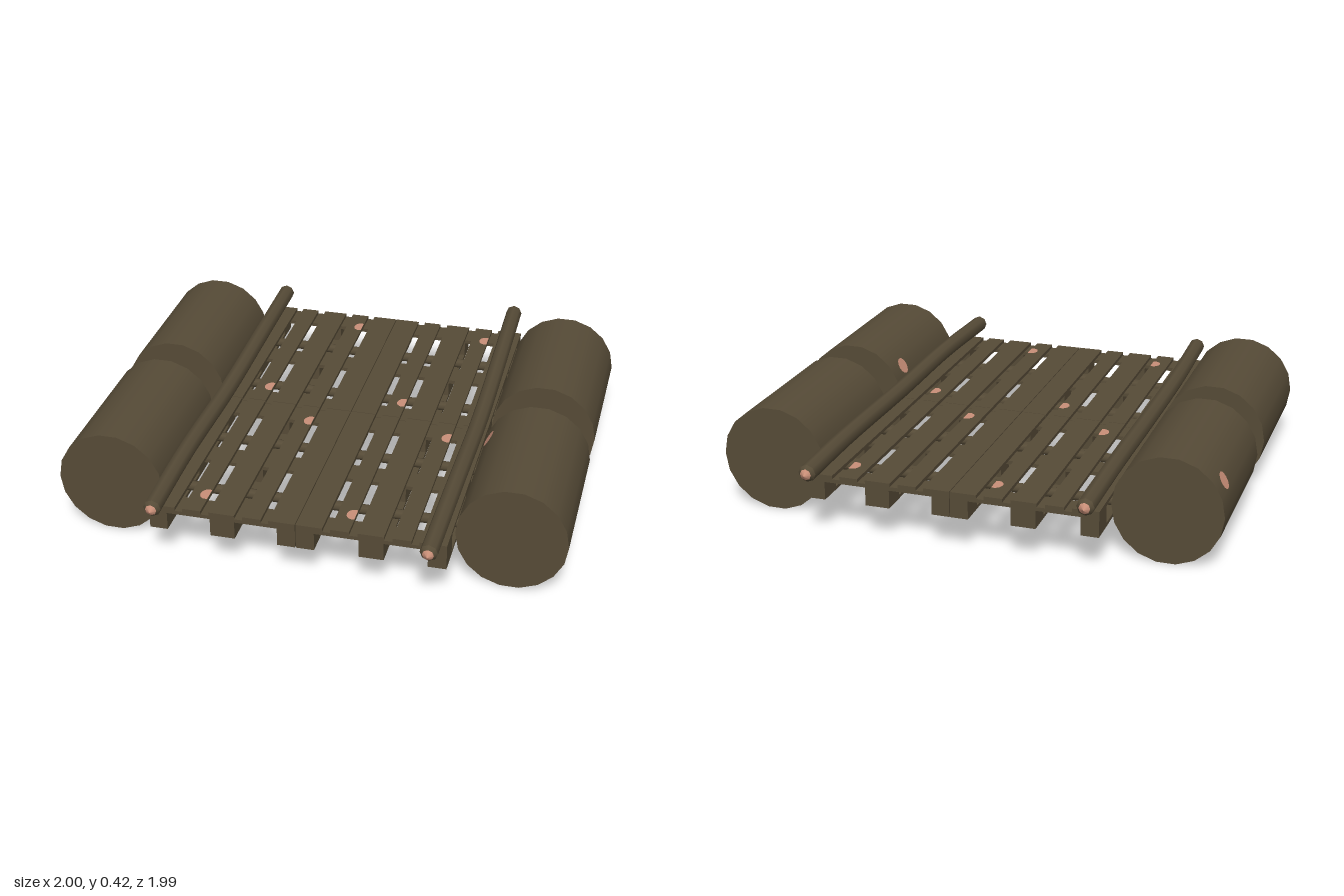
import * as THREE from 'three';

const wood = new THREE.MeshStandardMaterial({ color: 0x564b37 });
wood.name = 'weathered brown';
const pink = new THREE.MeshStandardMaterial({ color: 0xc98f78 });
pink.name = 'pale pink';

function add(parent, name, geometry, material, x = 0, y = 0, z = 0) {
  const mesh = new THREE.Mesh(geometry, material);
  mesh.name = name;
  mesh.position.set(x, y, z);
  parent.add(mesh);
  return mesh;
}

// Box given by its limits on each axis
function slab(parent, name, [x0, x1], [y0, y1], [z0, z1]) {
  const g = new THREE.BoxGeometry(x1 - x0, y1 - y0, z1 - z0);
  return add(parent, name, g, wood, (x0 + x1) / 2, (y0 + y1) / 2, (z0 + z1) / 2);
}

// Pallet with its back right corner at the group's origin
function makePallet() {
  const pallet = new THREE.Group();
  pallet.name = 'pallet';
  const length = 0.856;
  const planks = [[0, 0.102], [0.132, 0.204], [0.236, 0.336], [0.368, 0.44], [0.47, 0.572]];
  const skids = [[0, 0.07], [0.24, 0.336], [0.502, 0.572]];
  const rows = [[0, 0.1], [0.378, 0.478], [0.756, length]];

  for (const p of planks) slab(pallet, 'deckPlank', p, [0.23, 0.244], [0, length]);
  for (const r of rows) slab(pallet, 'crossBoard', [0, 0.572], [0.215, 0.23], r);
  for (const s of skids) {
    slab(pallet, 'skidBoard', s, [0.142, 0.156], [0, length]);
    for (const r of rows) slab(pallet, 'spacerBlock', s, [0.156, 0.215], r);
  }

  // Round marks cut off by the plank edge
  const a = 1.2;
  const mark = new THREE.ShapeGeometry(new THREE.Shape().absarc(0, 0, 0.033, a, 2 * Math.PI - a, false), 8);
  mark.scale(0.8, 1, 1).rotateX(-Math.PI / 2);
  add(pallet, 'plankMark', mark, pink, 0.43, 0.246, 0.115);
  add(pallet, 'plankMark', mark, pink, 0.194, 0.246, 0.74);
  return pallet;
}

// Barrel lying along z, with one round mark on a side facet
function makeBarrel(x, z0, z1, markAngle, markZ) {
  const barrel = new THREE.Group();
  barrel.name = 'barrel';
  const radius = 0.212, sides = 18;
  barrel.position.set(x, 0.21, 0);
  const body = new THREE.CylinderGeometry(radius, radius, z1 - z0, sides, 1, false, Math.PI / sides);
  body.rotateX(Math.PI / 2);
  add(barrel, 'barrelBody', body, wood, 0, 0, (z0 + z1) / 2);

  const t = THREE.MathUtils.degToRad(markAngle);
  const d = radius * Math.cos(Math.PI / sides) + 0.002;
  const disc = new THREE.CircleGeometry(0.035, 12).rotateY(Math.PI / 2).rotateZ(t);
  add(barrel, 'barrelMark', disc, pink, d * Math.cos(t), d * Math.sin(t), markZ);
  return barrel;
}

// Slightly crooked log with pointed pale ends
function makeLog(points, radius) {
  const log = new THREE.Group();
  log.name = 'sideLog';
  const curve = new THREE.CatmullRomCurve3(points.map((p) => new THREE.Vector3(...p)));
  add(log, 'logBody', new THREE.TubeGeometry(curve, 16, radius, 8), wood);
  const up = new THREE.Vector3(0, 1, 0);
  for (const t of [0, 1]) {
    const dir = curve.getTangent(t).multiplyScalar(t ? 1 : -1);
    const end = curve.getPoint(t);
    // brown shoulder, then the cut tip
    const shoulder = add(log, 'logShoulder', new THREE.CylinderGeometry(radius * 0.65, radius, 0.015, 8), wood);
    shoulder.position.copy(end).addScaledVector(dir, 0.0075);
    const tip = add(log, 'logTip', new THREE.ConeGeometry(radius * 0.65, 0.018, 8), pink);
    tip.position.copy(end).addScaledVector(dir, 0.024);
    for (const m of [shoulder, tip]) m.quaternion.setFromUnitVectors(up, dir);
  }
  return log;
}

export function createModel() {
  const raft = new THREE.Group();
  raft.name = 'raft';

  // Deck of four pallets
  for (const x of [-0.574, 0.001]) {
    for (const z of [-0.86, 0]) {
      const pallet = makePallet();
      pallet.position.set(x, 0, z);
      raft.add(pallet);
    }
  }

  // Poles threaded through the pallets
  for (const z of [-0.622, -0.236, 0.232, 0.61]) {
    const pole = new THREE.CylinderGeometry(0.02, 0.02, 1.15, 8).rotateZ(Math.PI / 2);
    add(raft, 'crossPole', pole, wood, 0, 0.187, z);
  }

  // Floats
  raft.add(
    makeBarrel(-0.788, -0.705, -0.075, 150, -0.6),
    makeBarrel(-0.788, 0.07, 0.7, 210, 0.59),
    makeBarrel(0.788, -0.705, -0.075, 330, -0.59),
    makeBarrel(0.788, 0.083, 0.713, 150, 0.19),
  );

  // Logs along the deck edges
  raft.add(
    makeLog([[-0.54, 0.288, -0.925], [-0.536, 0.285, -0.5], [-0.535, 0.275, 0], [-0.54, 0.282, 0.5], [-0.53, 0.284, 0.935]], 0.034),
    makeLog([[0.522, 0.291, -0.965], [0.53, 0.292, -0.6], [0.537, 0.28, 0], [0.533, 0.288, 0.5], [0.525, 0.277, 0.957]], 0.034),
  );
  return raft;
}
